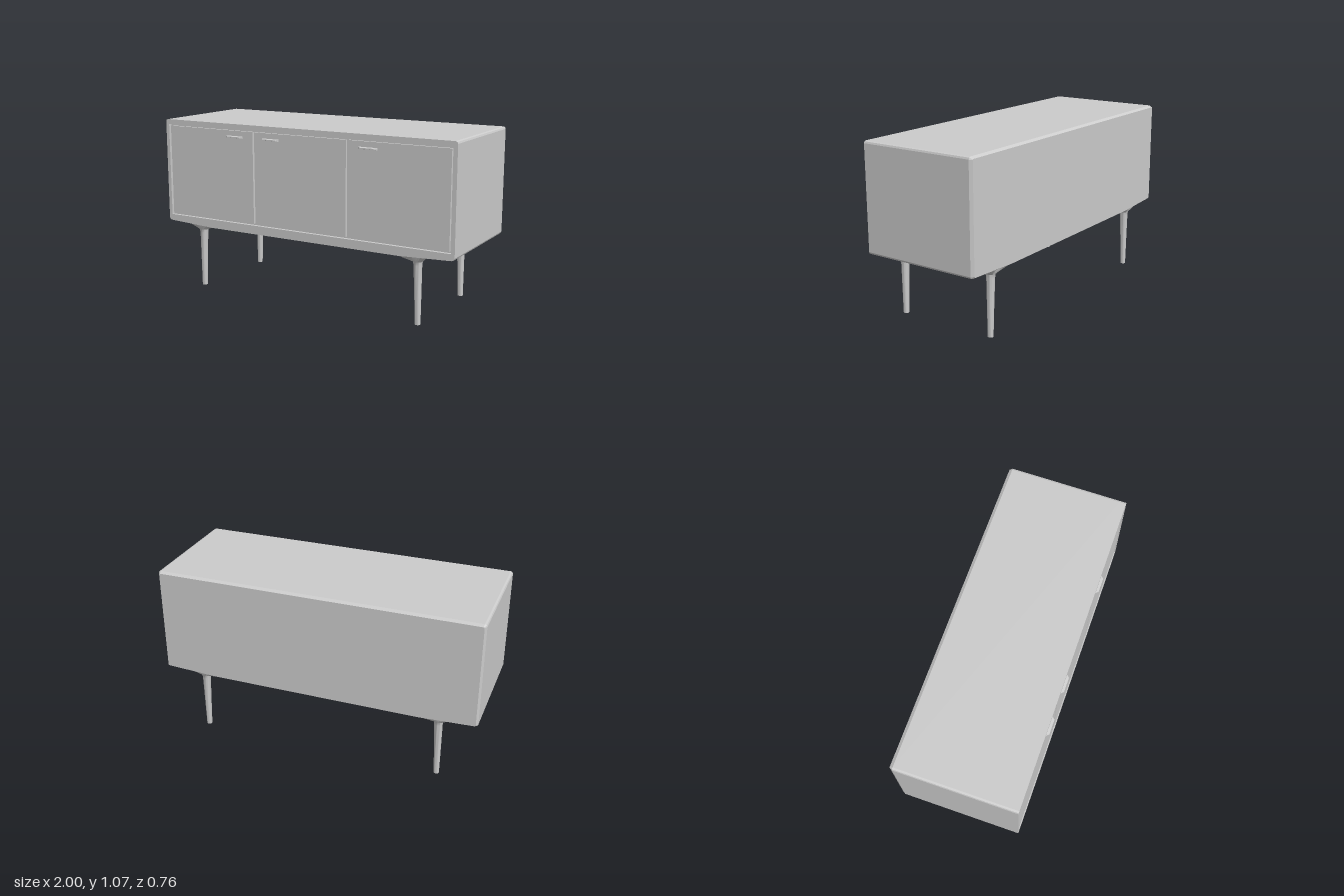
import * as THREE from 'three';
import { toCreasedNormals } from 'three/addons/utils/BufferGeometryUtils.js';

const material = new THREE.MeshStandardMaterial({ color: 0xcccccc });

function add(parent, name, geometry, x = 0, y = 0, z = 0) {
  const mesh = new THREE.Mesh(geometry, material);
  mesh.name = name;
  mesh.position.set(x, y, z);
  parent.add(mesh);
  return mesh;
}

// Cabinet outline: chamfered corners and a slightly bowed underside
function cabinetOutline() {
  const half = [[0.65, 0.401], [0.982, 0.416], [0.995, 0.421], [1, 0.431], [1, 1.06], [0.996, 1.07], [0.985, 1.074]];
  const mirrored = half.map(([x, y]) => [-x, y]).reverse();
  return new THREE.Shape([...half, ...mirrored].map(([x, y]) => new THREE.Vector2(x, y)));
}

// Bar handle that narrows towards its front
function handleGeometry() {
  const geo = new THREE.BoxGeometry(0.126, 0.014, 0.02);
  const p = geo.attributes.position;
  for (let i = 0; i < p.count; i++) {
    if (p.getZ(i) > 0) p.setXY(i, p.getX(i) * 0.72, p.getY(i) * 0.45);
  }
  return toCreasedNormals(geo, 0.3);
}

// Round tapered leg flaring into a rectangular foot plate that reaches inwards (-x)
function legGeometry() {
  const n = 24;
  const circle = (y, r, cx) => (a) => [cx + r * Math.cos(a), y, r * Math.sin(a)];
  const plate = (y) => (a) => {
    const c = Math.cos(a), s = Math.sin(a), k = 1 / Math.max(Math.abs(c), Math.abs(s));
    return [c * k * (c > 0 ? 0.055 : 0.115), y + (c < 0 ? c * k * 0.004 : 0), s * k * 0.05];
  };
  const rings = [circle(0, 0.0165, 0), circle(0.2, 0.021, -0.003), circle(0.35, 0.025, -0.006),
    circle(0.372, 0.028, -0.006), plate(0.408), plate(0.418)];
  const pos = [0, 0, 0], idx = [];
  for (const ring of rings) {
    for (let i = 0; i < n; i++) pos.push(...ring((i / n) * Math.PI * 2));
  }
  for (let i = 0; i < n; i++) {
    const j = (i + 1) % n;
    idx.push(0, 1 + i, 1 + j);
    for (let r = 0; r < rings.length - 1; r++) {
      const a = 1 + r * n + i, b = 1 + r * n + j;
      idx.push(a, a + n, b, b, a + n, b + n);
    }
  }
  const geo = new THREE.BufferGeometry();
  geo.setAttribute('position', new THREE.Float32BufferAttribute(pos, 3));
  geo.setIndex(idx);
  return toCreasedNormals(geo, 0.6);
}

export function createModel() {
  const model = new THREE.Group();
  model.name = 'sideboard';

  // Solid carcass with a bevelled back edge
  const carcass = new THREE.ExtrudeGeometry(cabinetOutline(), {
    depth: 0.69, bevelEnabled: true, bevelThickness: 0.018, bevelSize: 0.011, bevelOffset: -0.011, bevelSegments: 1,
  });
  add(model, 'carcass', carcass, 0, 0, -0.36);

  // Front frame around the door opening
  const frame = cabinetOutline();
  frame.holes.push(new THREE.Path([[-0.977, 0.455], [-0.977, 1.043], [0.977, 1.043], [0.977, 0.455]]
    .map(([x, y]) => new THREE.Vector2(x, y))));
  add(model, 'frontFrame', new THREE.ExtrudeGeometry(frame, { depth: 0.038, bevelEnabled: false }), 0, 0, 0.33);

  // Three doors, each with its handle
  const doors = [[-0.966, -0.331, -0.465], [-0.317, 0.317, -0.202], [0.331, 0.966, 0.458]];
  for (const [x0, x1, handleX] of doors) {
    add(model, 'door', new THREE.BoxGeometry(x1 - x0, 0.568, 0.02), (x0 + x1) / 2, 0.749, 0.354);
    add(model, 'handle', handleGeometry(), handleX, 0.994, 0.371);
  }

  // Four legs, turned so the plates point to the middle
  const leg = legGeometry();
  for (const side of [1, -1]) {
    for (const z of [0.317, -0.31]) {
      add(model, 'leg', leg, side * 0.765, 0, z).rotation.y = side > 0 ? 0 : Math.PI;
    }
  }
  return model;
}
